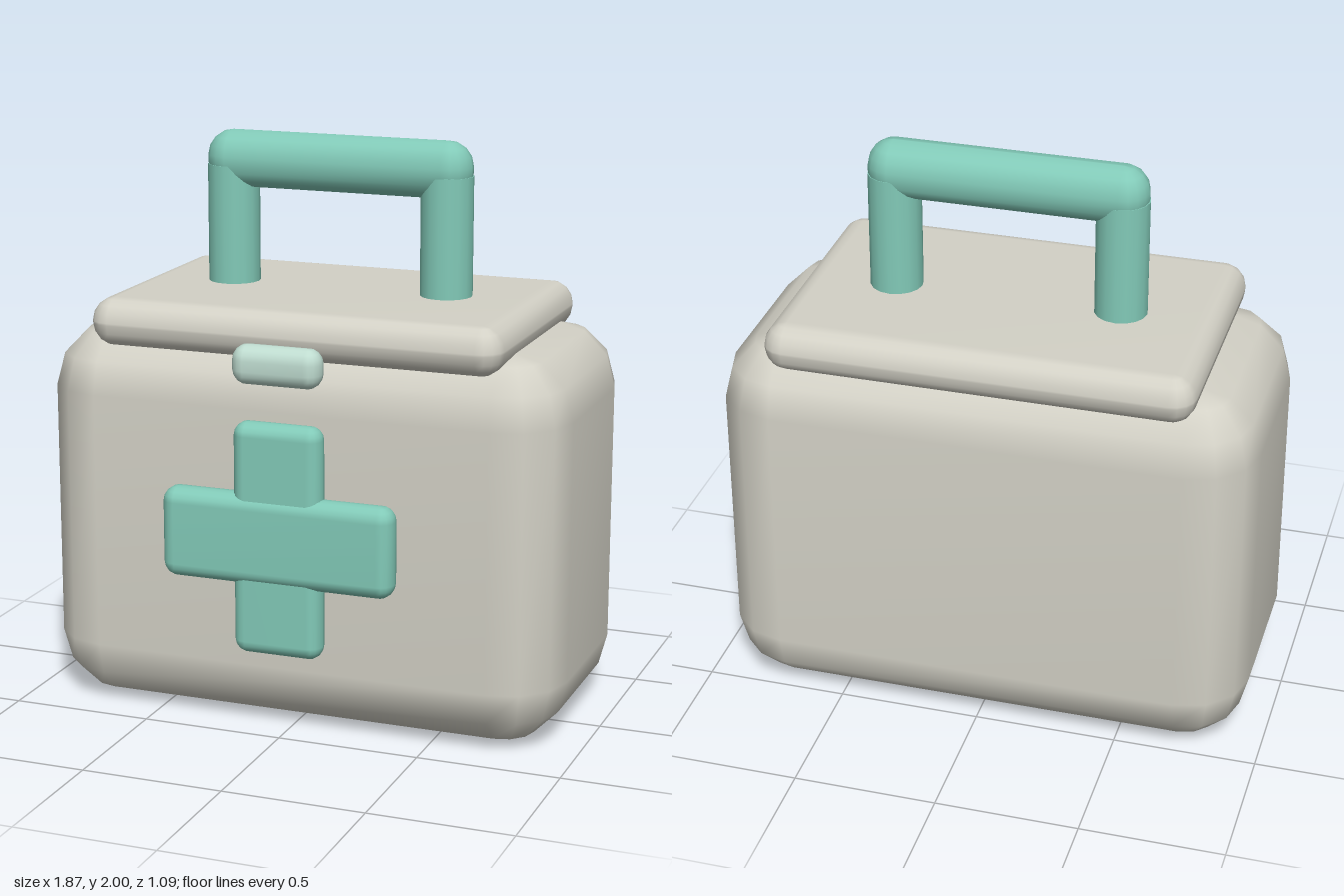
import * as THREE from 'three';
import { mergeVertices } from 'three/addons/utils/BufferGeometryUtils.js';

// Box with rounded edges, n segments per quarter turn, smooth shaded
function softBox(w, h, d, r, n = 3) {
  const pos = [], index = [], size = 4 * (n + 1), rings = 2 * (n + 1);
  for (let j = 0; j < rings; j++) {
    const upper = j > n;
    const lat = (upper ? (j - n - 1) / n : j / n - 1) * Math.PI / 2;
    for (let q = 0; q < 4; q++) {
      const sx = q === 0 || q === 3 ? 1 : -1, sz = q < 2 ? -1 : 1;
      for (let k = 0; k <= n; k++) {
        const a = (q + k / n) * Math.PI / 2;
        pos.push(
          sx * (w / 2 - r) + r * Math.cos(lat) * Math.cos(a),
          (upper ? 1 : -1) * (h / 2 - r) + r * Math.sin(lat),
          sz * (d / 2 - r) - r * Math.cos(lat) * Math.sin(a)
        );
      }
    }
  }
  for (let j = 0; j < rings - 1; j++) {
    for (let i = 0; i < size; i++) {
      const a = j * size + i, b = j * size + (i + 1) % size;
      index.push(a, b, b + size, a, b + size, a + size);
    }
  }
  // flat bottom and top
  const s = n + 1, t = (rings - 1) * size;
  index.push(0, 2 * s, s, 0, 3 * s, 2 * s);
  index.push(t, t + s, t + 2 * s, t, t + 2 * s, t + 3 * s);
  const geo = new THREE.BufferGeometry();
  geo.setAttribute('position', new THREE.Float32BufferAttribute(pos, 3));
  geo.setIndex(index);
  const merged = mergeVertices(geo, 1e-4);
  merged.computeVertexNormals();
  return merged;
}

export function createModel() {
  const group = new THREE.Group();
  const mat = (name, color) => {
    const m = new THREE.MeshStandardMaterial({ color });
    m.name = name;
    return m;
  };
  const shell = mat('warm grey', 0xd3d1c6);
  const teal = mat('teal', 0x82cab8);
  const pale = mat('pale green', 0xbfdcd0);

  const add = (name, geo, material, x, y, z) => {
    const mesh = new THREE.Mesh(geo, material);
    mesh.name = name;
    mesh.position.set(x, y, z);
    group.add(mesh);
    return mesh;
  };

  // case and lid
  add('caseBody', softBox(1.87, 1.355, 0.975, 0.225), shell, 0, 0.6775, -0.0575);
  add('lid', softBox(1.475, 0.168, 0.96, 0.08, 4), shell, 0, 1.382, -0.055);

  // latch on the front
  add('latch', softBox(0.315, 0.135, 0.108, 0.05, 4), pale, 0, 1.308, 0.492);

  // raised cross
  add('crossUpright', softBox(0.315, 0.81, 0.1, 0.046, 4), teal, 0, 0.705, 0.486);
  add('crossBar', softBox(0.83, 0.315, 0.112, 0.05, 4), teal, 0, 0.705, 0.492);

  // handle: two posts and a rounded grip
  for (const side of [1, -1]) {
    add(side > 0 ? 'leftHandlePost' : 'rightHandlePost',
      new THREE.CylinderGeometry(0.091, 0.091, 0.44, 16), teal, side * 0.394, 1.66, -0.08);
  }
  add('handleGrip', softBox(0.965, 0.2, 0.18, 0.088, 4), teal, 0, 1.9, -0.08);

  return group;
}
